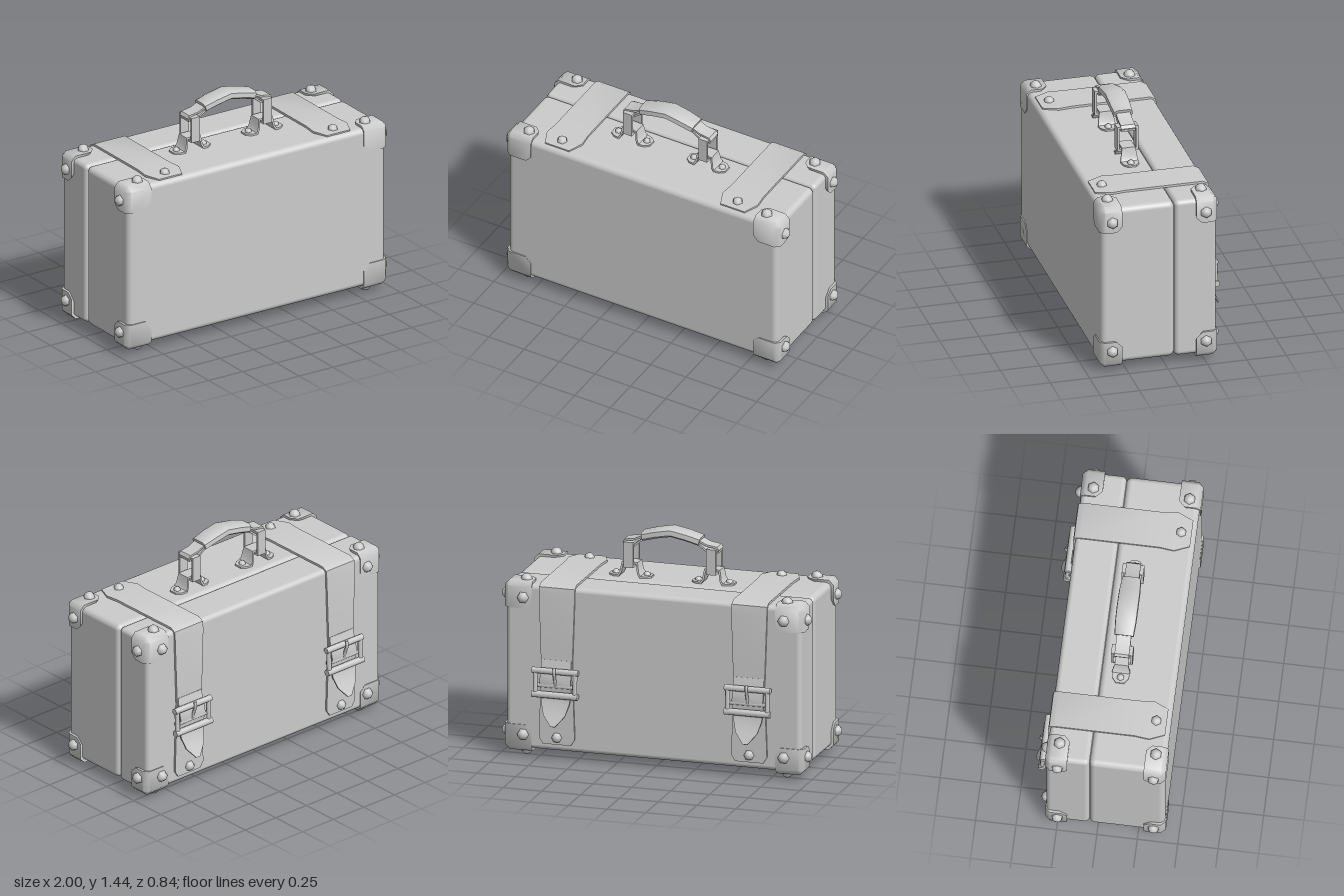
import * as THREE from 'three';
import { toCreasedNormals } from 'three/addons/utils/BufferGeometryUtils.js';
import { RoundedBoxGeometry } from 'three/addons/geometries/RoundedBoxGeometry.js';
import { ConvexGeometry } from 'three/addons/geometries/ConvexGeometry.js';

const material = new THREE.MeshStandardMaterial({ color: 0xcccccc, roughness: 0.8 });
const FLAT = [[1, -1], [1, 1], [-1, 1], [-1, -1]];
const ROUND = [[1, -0.6], [1, 0.6], [0.6, 0.95], [-0.5, 1], [-1, 0.7], [-1, -0.7], [-0.5, -1], [0.6, -0.95]];

function add(parent, name, geometry, x = 0, y = 0, z = 0) {
  const mesh = new THREE.Mesh(geometry, material);
  mesh.name = name;
  mesh.position.set(x, y, z);
  parent.add(mesh);
  return mesh;
}

// Band swept along a path of [x, y, halfWidth], with its width along z
function band(path, thickness, section = FLAT, crease = 0.6) {
  const pos = [], index = [], n = section.length, last = path.length - 1;
  const direction = (i) => new THREE.Vector2(path[i + 1][0] - path[i][0], path[i + 1][1] - path[i][1]).normalize();
  path.forEach(([x, y, w], i) => {
    const a = direction(Math.max(i - 1, 0)), b = direction(Math.min(i, last - 1));
    const t = a.clone().add(b).normalize();
    const h = thickness / 2 / Math.max(t.dot(a), 0.5);
    for (const [u, v] of section) pos.push(x - t.y * u * h, y + t.x * u * h, v * w);
  });
  for (let i = 0; i < last; i++) {
    for (let j = 0; j < n; j++) {
      const a = i * n + j, b = i * n + (j + 1) % n;
      index.push(a, b, a + n, b, b + n, a + n);
    }
  }
  for (let j = 1; j < n - 1; j++) {
    index.push(0, j + 1, j, last * n, last * n + j, last * n + j + 1);
  }
  const g = new THREE.BufferGeometry();
  g.setAttribute('position', new THREE.Float32BufferAttribute(pos, 3));
  g.setIndex(index);
  return toCreasedNormals(g, crease);
}

// Low-poly domed rivet pointing along a direction
function rivet(parent, at, dir, r = 0.038) {
  const g = new THREE.SphereGeometry(r, 6, 3, 0, Math.PI * 2, 0, Math.PI / 2);
  const m = add(parent, 'rivet', g, ...at);
  m.quaternion.setFromUnitVectors(new THREE.Vector3(0, 1, 0), new THREE.Vector3(...dir));
}

// Corner cap reaching inward from its outer corner, with the inner tips cut off
function cornerCap(corner, size, signs) {
  const pts = [], k = 0.03, m = 0.035;
  for (let axis = 0; axis < 3; axis++) {
    const u = (axis + 1) % 3, v = (axis + 2) % 3;
    const U = size[u], V = size[v];
    for (const [a, b] of [[k, k], [U, k], [U, V - m], [U - m, V], [k, V]]) {
      const p = [0, 0, 0];
      p[u] = a;
      p[v] = b;
      pts.push(new THREE.Vector3(...p.map((d, i) => corner[i] - signs[i] * d)));
    }
  }
  return toCreasedNormals(new ConvexGeometry(pts), 1.0);
}

function bar(parent, name, from, to, r) {
  const a = new THREE.Vector3(...from), b = new THREE.Vector3(...to);
  const m = add(parent, name, new THREE.CylinderGeometry(r, r, a.distanceTo(b), 8));
  m.position.copy(a).add(b).multiplyScalar(0.5);
  m.quaternion.setFromUnitVectors(new THREE.Vector3(0, 1, 0), b.sub(a).normalize());
}

function createCorners() {
  const corners = new THREE.Group();
  corners.name = 'corners';
  for (const sx of [-1, 1]) for (const top of [true, false]) for (const sz of [-1, 1]) {
    const sy = top ? 1 : -1;
    const yEdge = top ? 1.12 : 0.036, zEdge = sz > 0 ? 0.42 : -0.327;
    const yMid = top ? 1.02 : 0.145, zMid = sz > 0 ? 0.345 : -0.25;
    add(corners, 'cornerCap', cornerCap([sx * 0.966, yEdge, zEdge], [0.18, 0.17, 0.137], [sx, sy, sz]));
    rivet(corners, [sx * 0.962, yMid, zMid], [sx, 0, 0]);
    rivet(corners, [sx * 0.84, top ? 1.117 : 0.038, zMid], [0, sy, 0]);
    if (sz < 0) rivet(corners, [sx * 0.84, yMid, -0.324], [0, 0, -1]);
  }
  return corners;
}

function createStrap(x) {
  const strap = new THREE.Group();
  strap.name = 'strap';
  strap.position.x = x;
  const side = (name, path, t) => { add(strap, name, band(path, t)).rotation.y = -Math.PI / 2; };
  // Band over the top and down the back, as [z, y, halfWidth]
  side('strapBand', [
    [0.385, 1.106, 0.085], [0.29, 1.111, 0.125], [0.2, 1.112, 0.115], [-0.29, 1.112, 0.115],
    [-0.322, 1.095, 0.115], [-0.327, 1.05, 0.115], [-0.329, 0.6, 0.1], [-0.327, 0.14, 0.115], [-0.327, 0.1, 0.09],
  ], 0.014);
  rivet(strap, [0, 1.112, 0.32], [0, 1, 0], 0.034);
  rivet(strap, [0, 0.145, -0.332], [0, 0, -1], 0.034);
  // Loose end hanging through the buckle
  side('strapTail', [
    [-0.334, 0.64, 0.095], [-0.35, 0.56, 0.1], [-0.365, 0.5, 0.1], [-0.35, 0.44, 0.1],
    [-0.36, 0.37, 0.09], [-0.385, 0.3, 0.07], [-0.415, 0.235, 0.015],
  ], 0.01);
  // Buckle frame and prong
  const buckle = new THREE.Group();
  buckle.name = 'buckle';
  strap.add(buckle);
  bar(buckle, 'buckleTopBar', [-0.148, 0.575, -0.363], [0.148, 0.575, -0.363], 0.02);
  bar(buckle, 'buckleBottomBar', [-0.148, 0.425, -0.37], [0.148, 0.425, -0.37], 0.022);
  bar(buckle, 'buckleMiddleBar', [-0.13, 0.48, -0.355], [0.13, 0.48, -0.355], 0.014);
  for (const s of [-1, 1]) bar(buckle, 'bucklePost', [s * 0.128, 0.575, -0.365], [s * 0.128, 0.425, -0.37], 0.015);
  const prong = new THREE.CatmullRomCurve3([
    new THREE.Vector3(0, 0.48, -0.36), new THREE.Vector3(0, 0.53, -0.375),
    new THREE.Vector3(0, 0.575, -0.392), new THREE.Vector3(0, 0.605, -0.385),
  ]);
  add(buckle, 'buckleProng', new THREE.TubeGeometry(prong, 8, 0.01, 6));
  return strap;
}

function createHandle() {
  const handle = new THREE.Group();
  handle.name = 'handle';
  handle.position.z = 0.067;
  // Curved grip
  add(handle, 'grip', band([
    [-0.185, 1.37, 0.06], [-0.1, 1.394, 0.066], [0, 1.413, 0.067], [0.1, 1.394, 0.066], [0.185, 1.37, 0.06],
  ], 0.054, ROUND, 0.9));
  // Rectangular ring, drawn in z and y
  const ring = new THREE.Shape();
  ring.moveTo(-0.067, 1.17).lineTo(0.067, 1.17).lineTo(0.067, 1.333).lineTo(-0.067, 1.333);
  const hole = new THREE.Path();
  hole.moveTo(-0.053, 1.184).lineTo(-0.053, 1.318).lineTo(0.053, 1.318).lineTo(0.053, 1.184);
  ring.holes.push(hole);
  const ringGeometry = new THREE.ExtrudeGeometry(ring, { depth: 0.062, bevelEnabled: false });
  ringGeometry.translate(0, 0, -0.031).rotateY(Math.PI / 2);
  for (const s of [-1, 1]) {
    add(handle, 'handleRing', ringGeometry, s * 0.266);
    // Leather tabs wrapping the ring and joining the grip
    add(handle, 'handleTab', band([
      [s * 0.17, 1.378, 0.045], [s * 0.23, 1.35, 0.045], [s * 0.295, 1.34, 0.045], [s * 0.306, 1.322, 0.045],
    ], 0.012));
    add(handle, 'handleTab', band([
      [s * 0.17, 1.36, 0.045], [s * 0.205, 1.335, 0.045], [s * 0.235, 1.31, 0.045], [s * 0.306, 1.312, 0.045],
    ], 0.012));
    // Bracket holding the ring on the lid
    const bracket = [
      [-0.136, 1.11, 0.025], [-0.105, 1.11, 0.05], [-0.07, 1.112, 0.055], [-0.056, 1.135, 0.052], [-0.046, 1.194, 0.042],
    ];
    const mirrored = bracket.map(([x, y, w]) => [-x, y, w]).reverse();
    add(handle, 'handleBracket', band([...bracket, ...mirrored], 0.012), s * 0.266);
    for (const e of [-1, 1]) rivet(handle, [s * 0.266 + e * 0.1, 1.114, 0], [0, 1, 0], 0.024);
  }
  return handle;
}

export function createModel() {
  const suitcase = new THREE.Group();
  suitcase.name = 'suitcase';
  // Two shells meeting at a seam
  add(suitcase, 'frontShell', new RoundedBoxGeometry(1.9, 1.05, 0.468, 4, 0.036), 0, 0.58, 0.179);
  add(suitcase, 'backShell', new RoundedBoxGeometry(1.9, 1.05, 0.266, 4, 0.03), 0, 0.58, -0.188);
  add(suitcase, 'seam', new THREE.BoxGeometry(1.85, 1.0, 0.1), 0, 0.58, -0.055);
  suitcase.add(createCorners(), createStrap(-0.62), createStrap(0.62), createHandle());
  return suitcase;
}
